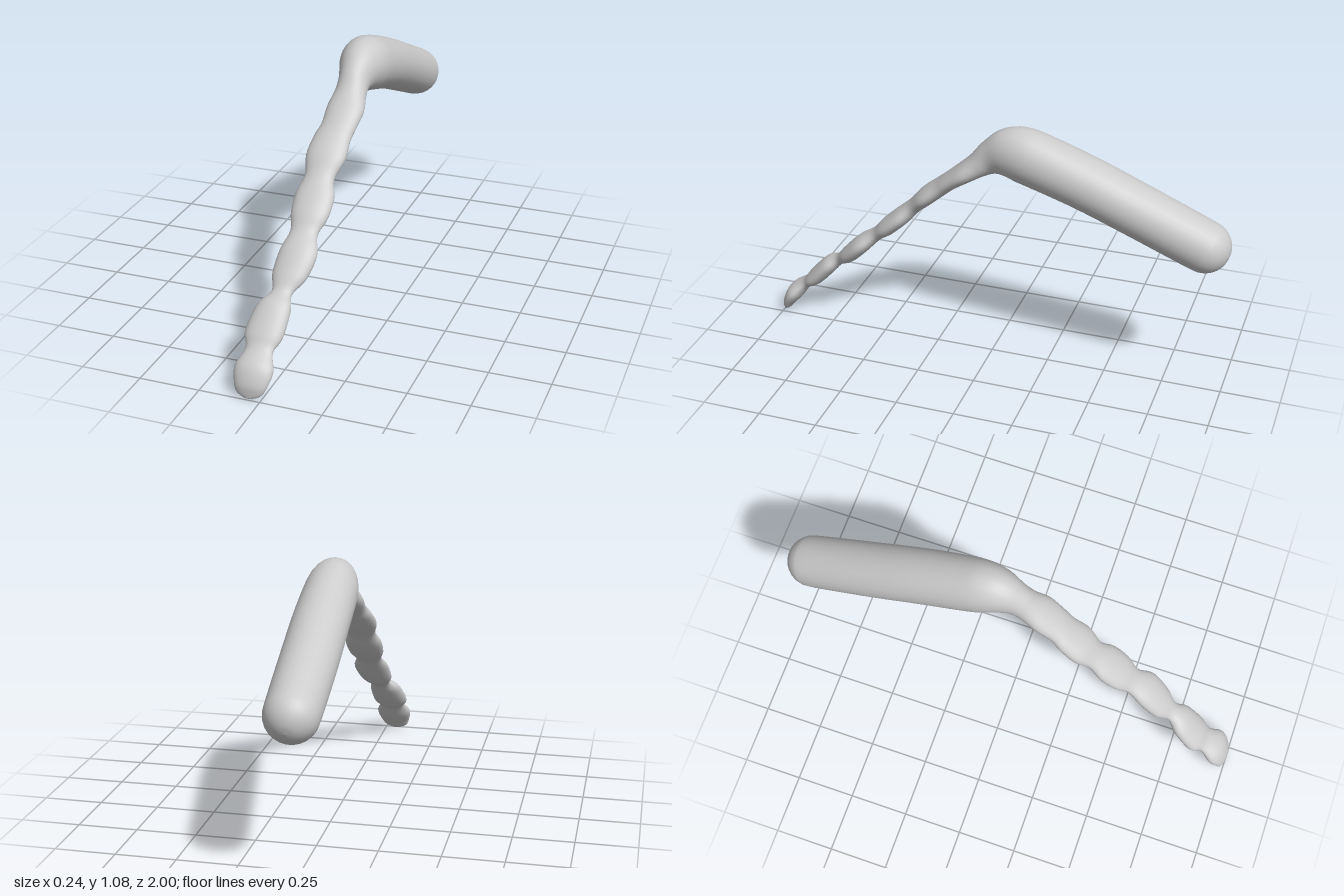
import * as THREE from 'three';

// Cross-sections from strand tip to rounded end: [x, y, z, halfWidth, halfThickness]
const STRAND = [
  [-0.05, 0.008, 0.993, 0.015, 0.006],
  [-0.05, 0.025, 0.985, 0.05, 0.016],
  [-0.047, 0.06, 0.972, 0.068, 0.028],
  [-0.046, 0.11, 0.938, 0.078, 0.036],
  [-0.046, 0.16, 0.885, 0.056, 0.024],
  [-0.047, 0.2, 0.838, 0.077, 0.036],
  [-0.035, 0.28, 0.763, 0.069, 0.036],
  [-0.023, 0.32, 0.71, 0.042, 0.024],
  [-0.014, 0.365, 0.655, 0.07, 0.036],
  [-0.003, 0.435, 0.585, 0.077, 0.037],
  [-0.005, 0.49, 0.52, 0.057, 0.028],
  [-0.004, 0.54, 0.465, 0.077, 0.037],
  [-0.004, 0.6, 0.4, 0.08, 0.037],
  [-0.006, 0.655, 0.345, 0.062, 0.032],
  [-0.003, 0.715, 0.285, 0.082, 0.038],
  [0.0, 0.77, 0.22, 0.077, 0.037],
  [0.012, 0.81, 0.175, 0.073, 0.037],
  [0.017, 0.86, 0.11, 0.078, 0.043],
  [0.017, 0.905, 0.05, 0.066, 0.053],
  [0.015, 0.942, 0, 0.066, 0.072],
];
const GRIP = [
  [0.014, 0.967, -0.06, 0.086, 0.101],
  [0.012, 0.973, -0.12, 0.101, 0.114],
  [0.01, 0.953, -0.2, 0.109, 0.115],
  [0.005, 0.883, -0.4, 0.113, 0.111],
  [0, 0.8, -0.6, 0.113, 0.109],
  [-0.003, 0.715, -0.8, 0.11, 0.108],
];
// Hemispherical end of the grip
for (let i = 0; i <= 5; i++) {
  const a = (i / 5) * Math.PI / 2, s = Math.sin(a) * 0.107, r = Math.cos(a) * 0.107;
  GRIP.push([-0.004, 0.678 - 0.39 * s, -0.888 - 0.92 * s, r, r]);
}

const SIDES = 28, STEPS = 5;

// Smooth elliptical loft through the cross-sections
function loft(sections) {
  const curve = (f) => new THREE.CatmullRomCurve3(sections.map(f), false, 'catmullrom', 0.5);
  const path = curve(([x, y, z]) => new THREE.Vector3(x, y, z));
  const size = curve(([, , , w, h]) => new THREE.Vector3(w, h, 0));
  const rings = (sections.length - 1) * STEPS;
  const pos = [], index = [];
  for (let i = 0; i <= rings; i++) {
    const t = i / rings, c = path.getPoint(t), s = size.getPoint(t);
    // Tangent averaged over a wide span keeps the sections steady along the waves
    const d = path.getPoint(Math.min(1, t + 0.02)).sub(path.getPoint(Math.max(0, t - 0.02)));
    d.x = 0;
    d.normalize();
    const w = Math.max(s.x, 0), h = Math.max(s.y, 0);
    for (let j = 0; j < SIDES; j++) {
      const a = (j / SIDES) * Math.PI * 2, n = h * Math.sin(a);
      pos.push(c.x + w * Math.cos(a), c.y - d.z * n, c.z + d.y * n);
      if (i < rings) {
        const k = (j + 1) % SIDES, p = i * SIDES, q = p + SIDES;
        index.push(p + j, q + j, p + k, p + k, q + j, q + k);
      }
    }
  }
  // Close both ends
  for (const [ring, flip] of [[0, false], [rings, true]]) {
    const b = ring * SIDES;
    for (let j = 1; j < SIDES - 1; j++) {
      const tri = flip ? [b, b + j + 1, b + j] : [b, b + j, b + j + 1];
      if (flip) index.push(...tri); else index.unshift(...tri);
    }
  }
  const geo = new THREE.BufferGeometry();
  geo.setAttribute('position', new THREE.Float32BufferAttribute(pos, 3));
  geo.setIndex(index);
  geo.computeVertexNormals();
  return geo;
}

export function createModel() {
  const group = new THREE.Group();
  group.name = 'bentHandle';
  const material = new THREE.MeshStandardMaterial({ color: 0xcccccc });
  const whole = loft([...STRAND, ...GRIP]);
  const all = Array.from(whole.index.array);
  const split = (SIDES - 2) * 3 + STRAND.length * STEPS * SIDES * 6;

  // The two parts share one smooth skin, divided where the strand meets the grip
  const addPart = (name, index) => {
    const geo = new THREE.BufferGeometry();
    geo.setAttribute('position', whole.attributes.position);
    geo.setAttribute('normal', whole.attributes.normal);
    geo.setIndex(index);
    const mesh = new THREE.Mesh(geo, material);
    mesh.name = name;
    group.add(mesh);
  };
  addPart('beadedStrand', all.slice(0, split));
  addPart('roundedGrip', all.slice(split));
  return group;
}
